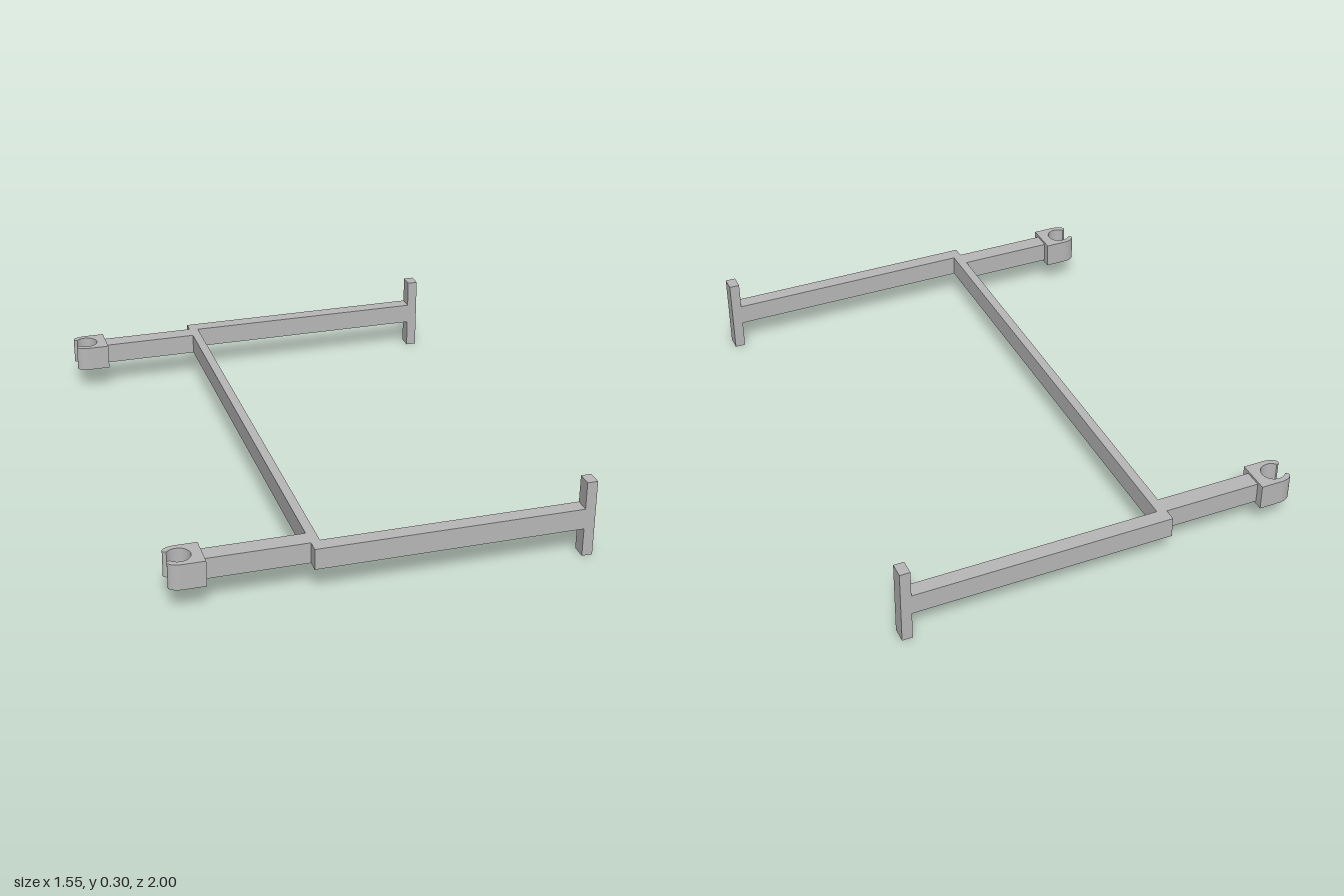
import * as THREE from 'three';

export function createModel() {
  const model = new THREE.Group();
  model.name = 'clipOnFrame';
  const grey = new THREE.MeshStandardMaterial({ color: 0xb8b8b8 });
  grey.name = 'plain grey';

  // Box given by its limits on each axis
  function bar(name, [x0, x1], [y0, y1], [z0, z1]) {
    const mesh = new THREE.Mesh(new THREE.BoxGeometry(x1 - x0, y1 - y0, z1 - z0), grey);
    mesh.position.set((x0 + x1) / 2, (y0 + y1) / 2, (z0 + z1) / 2);
    mesh.name = name;
    model.add(mesh);
  }

  // Open C-shaped clip, drawn in plan around the centre of its hole
  const r = 0.045, mouth = 2.45;
  const mx = r * Math.cos(mouth), mz = r * Math.sin(mouth);
  const outline = new THREE.Shape();
  outline.moveTo(0.083, -0.066);
  outline.lineTo(0.083, 0.066);
  outline.lineTo(0, 0.066);
  outline.quadraticCurveTo(-0.033, 0.064, -0.046, 0.047);
  outline.quadraticCurveTo(-0.052, 0.033, mx, mz);
  outline.absarc(0, 0, r, mouth, -mouth, true);
  outline.quadraticCurveTo(-0.052, -0.033, -0.046, -0.047);
  outline.quadraticCurveTo(-0.033, -0.064, 0, -0.066);
  outline.closePath();
  const clipGeometry = new THREE.ExtrudeGeometry(outline, { depth: 0.1, bevelEnabled: false, curveSegments: 16 });
  clipGeometry.rotateX(-Math.PI / 2);

  const height = [0.112, 0.193];
  bar('crossBar', [-0.27, -0.235], height, [-0.945, 0.945]);

  // Matching arm, end post, clip arm and clip at both ends
  for (const s of [1, -1]) {
    const side = s > 0 ? 'front' : 'back';
    const span = (a, b) => (s > 0 ? [a, b] : [-b, -a]);
    bar(side + 'Arm', [-0.27, 0.735], height, span(0.942, 1));
    bar(side + 'EndPost', [0.735, 0.775], [0, 0.3], span(0.942, 1));
    bar(side + 'ClipArm', [-0.65, -0.27], height, span(0.884, 0.953));
    const clip = new THREE.Mesh(clipGeometry, grey);
    clip.position.set(-0.73, 0.102, s * 0.919);
    clip.name = side + 'Clip';
    model.add(clip);
  }
  return model;
}
